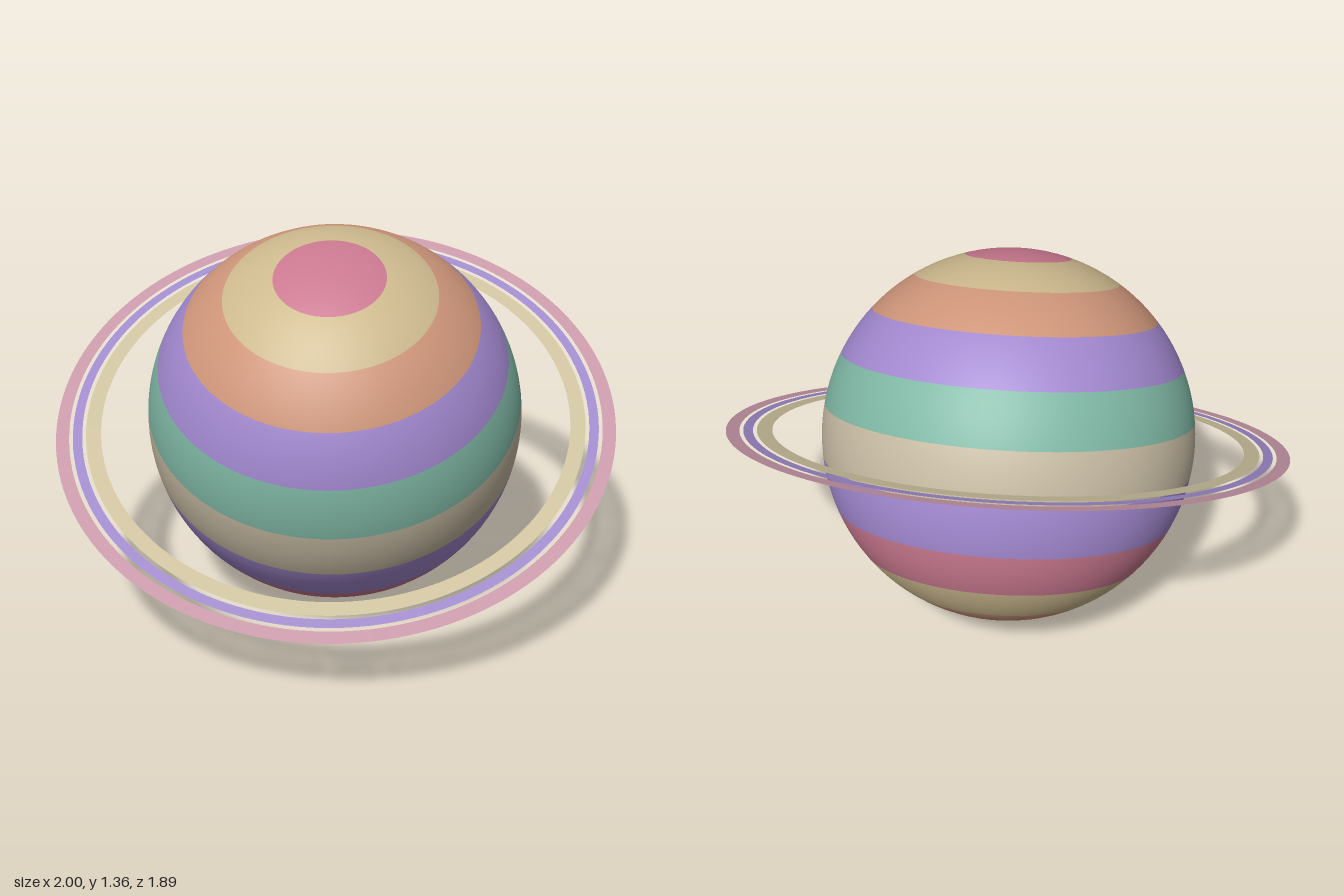
import * as THREE from 'three';

const PINK = 0xc9788f, TAN = 0xcdb98e, ORANGE = 0xcf967a, VIOLET = 0xa288cf, GREEN = 0x7fb7a4, CREAM = 0xc6baa2;

const RADIUS = 0.678;

// Equal latitude bands, from the north pole to the south pole
const BANDS = [PINK, TAN, ORANGE, VIOLET, GREEN, CREAM, VIOLET, PINK, TAN, ORANGE, TAN];

// Flat rings: name, inner and outer radius as multiples of the globe radius, colour
const RINGS = [
  ['innerRing', 1.26, 1.34, 0xcdc19e],
  ['middleRing', 1.36, 1.41, 0xa08acb],
  ['outerRing', 1.43, 1.5, 0xc898a8],
];

function addMesh(parent, name, geometry, color, side = THREE.FrontSide) {
  const mesh = new THREE.Mesh(geometry, new THREE.MeshStandardMaterial({ color, side }));
  mesh.name = name;
  parent.add(mesh);
  return mesh;
}

export function createModel() {
  const model = new THREE.Group();
  model.name = 'ringedPlanet';

  // Everything shares one tilted axis
  const tilted = new THREE.Group();
  tilted.name = 'tiltedPlanet';
  tilted.position.y = RADIUS;
  tilted.rotation.set(0.388, 0, 0.188);
  model.add(tilted);

  // Globe, one slice of sphere per colour band
  const globe = new THREE.Group();
  globe.name = 'globe';
  tilted.add(globe);
  const step = Math.PI / BANDS.length;
  BANDS.forEach((color, i) => {
    const slice = new THREE.SphereGeometry(RADIUS, 96, 5, 0, Math.PI * 2, i * step, step);
    addMesh(globe, `band${i + 1}`, slice, color);
  });

  // Rings around the equator
  const rings = new THREE.Group();
  rings.name = 'rings';
  tilted.add(rings);
  for (const [name, inner, outer, color] of RINGS) {
    const flat = new THREE.RingGeometry(inner * RADIUS, outer * RADIUS, 128).rotateX(-Math.PI / 2);
    addMesh(rings, name, flat, color, THREE.DoubleSide);
  }

  return model;
}
